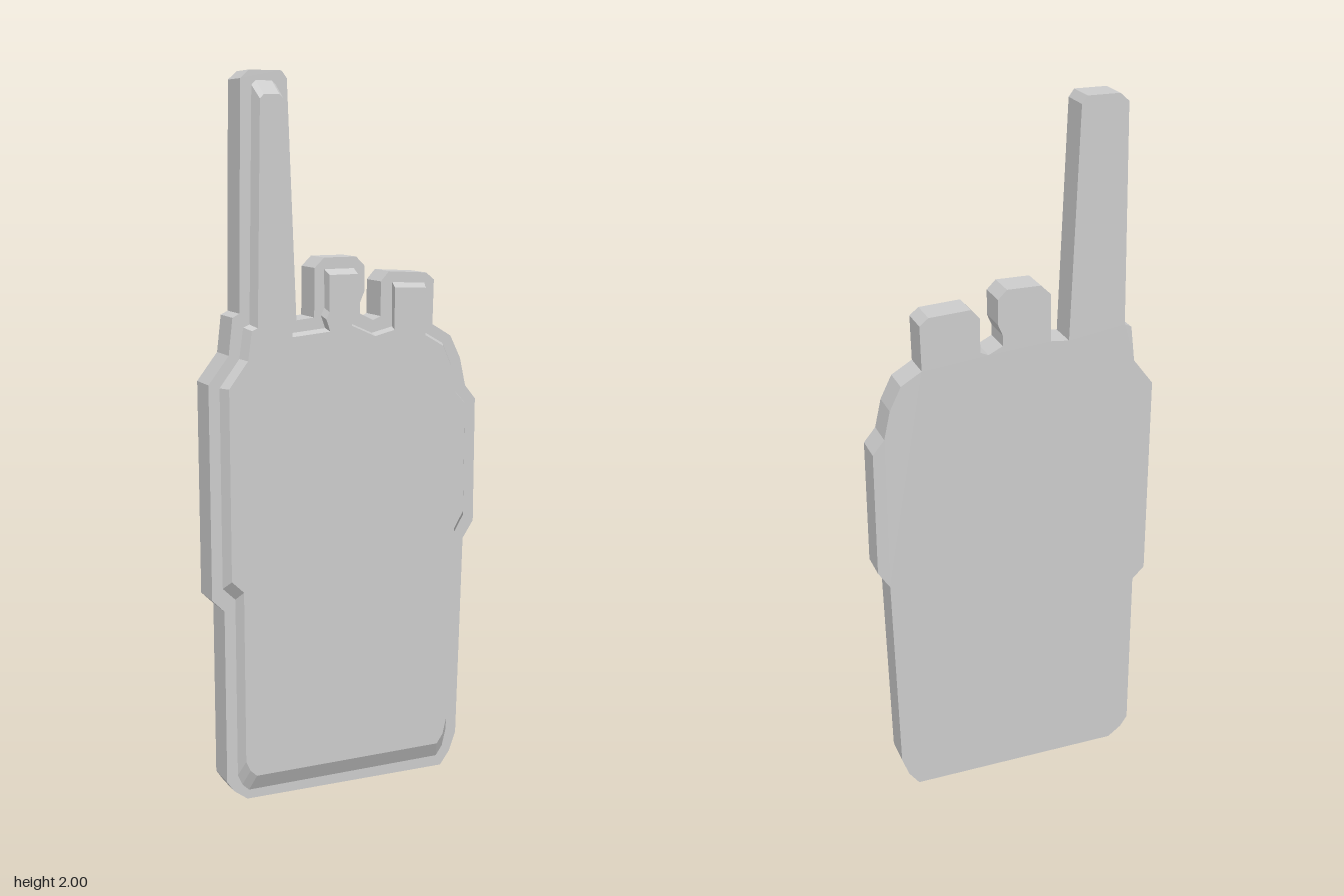
import * as THREE from 'three';

// Outline of the thick back slab, counterclockwise from the bottom left
const bodyOutline = [
  [-0.31, 0.01], [0.305, 0], [0.335, 0.04], [0.355, 0.095], [0.37, 0.69], [0.403, 0.74],
  [0.403, 1.10], [0.37, 1.14], [0.352, 1.22], [0.32, 1.285], [0.262, 1.32],
  // wide knob
  [0.265, 1.445], [0.24, 1.465], [0.125, 1.472], [0.10, 1.445], [0.10, 1.35],
  [0.077, 1.34], [0.037, 1.36],
  // narrow knob
  [0.037, 1.39], [0.05, 1.42], [0.05, 1.49], [0.025, 1.515], [-0.07, 1.515], [-0.098, 1.488],
  [-0.10, 1.355], [-0.152, 1.35],
  // antenna
  [-0.175, 1.98], [-0.19, 2], [-0.28, 2], [-0.305, 1.978], [-0.315, 1.375],
  [-0.335, 1.365], [-0.347, 1.265], [-0.405, 1.19], [-0.405, 0.60], [-0.37, 0.565],
  [-0.37, 0.07], [-0.35, 0.04],
];

// Outline of the raised front panel where it meets the slab
const panelOutline = [
  [-0.305, 0.036], [0.29, 0.032], [0.31, 0.06], [0.322, 0.11], [0.34, 0.71], [0.37, 0.76],
  [0.37, 1.09], [0.338, 1.125], [0.322, 1.205], [0.295, 1.265], [0.235, 1.30],
  [0.235, 1.437], [0.135, 1.442], [0.135, 1.32], [0.073, 1.305],
  [0, 1.338], [0, 1.365], [0.015, 1.40], [0.018, 1.484], [-0.07, 1.484],
  [-0.07, 1.38], [-0.08, 1.36], [-0.068, 1.325], [-0.183, 1.315],
  [-0.207, 1.965], [-0.217, 1.974], [-0.262, 1.974], [-0.274, 1.962], [-0.287, 1.345],
  [-0.305, 1.338], [-0.317, 1.255], [-0.374, 1.18], [-0.374, 0.63], [-0.338, 0.595],
  [-0.338, 0.085], [-0.325, 0.055],
];

const material = new THREE.MeshStandardMaterial({ color: 0xcccccc, flatShading: true });

// Extrude an outline from z0 to z1, scaling its front end about (0, 1.17)
function slab(name, outline, z0, z1, frontScale = 1) {
  const shape = new THREE.Shape(outline.map(([x, y]) => new THREE.Vector2(x, y)));
  const geometry = new THREE.ExtrudeGeometry(shape, { depth: z1 - z0, bevelEnabled: false });
  const p = geometry.attributes.position;
  const pivotY = 1.17;
  for (let i = 0; i < p.count; i++) {
    if (p.getZ(i) < 0.001) continue;
    p.setX(i, p.getX(i) * frontScale);
    p.setY(i, pivotY + (p.getY(i) - pivotY) * frontScale);
  }
  geometry.translate(0, 0, z0);
  geometry.computeVertexNormals();
  const mesh = new THREE.Mesh(geometry, material);
  mesh.name = name;
  return mesh;
}

export function createModel() {
  const group = new THREE.Group();
  group.name = 'handheldRadio';
  group.add(slab('body', bodyOutline, -0.058, 0.03));
  group.add(slab('frontPanel', panelOutline, 0.03, 0.058, 0.956));
  return group;
}
